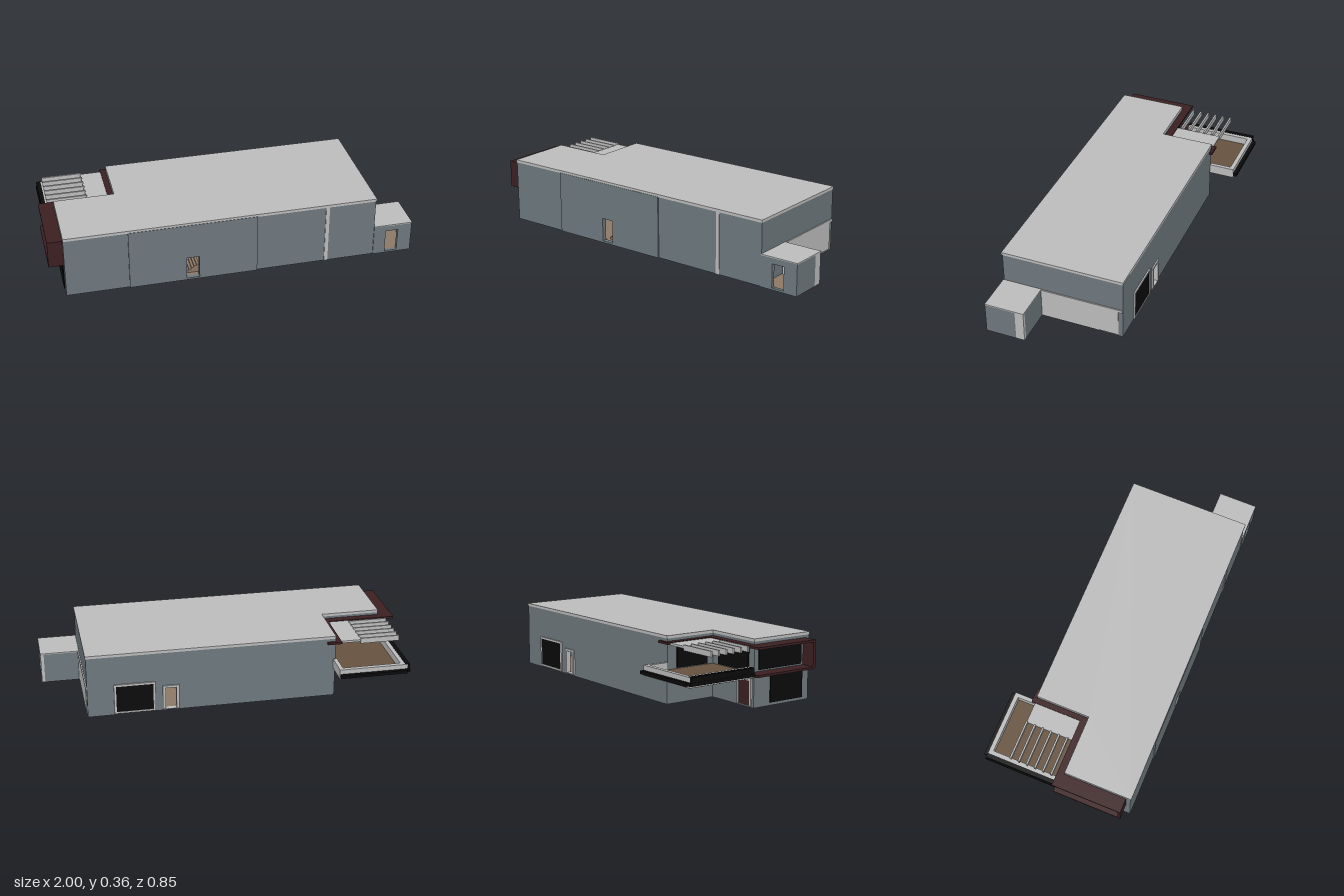
import * as THREE from 'three';

const mat = (name, color) => Object.assign(new THREE.MeshStandardMaterial({ color }), { name });

export function createModel() {
  const model = new THREE.Group();
  model.name = 'house';
  const wall = mat('slate wall', 0x6e787d);
  const light = mat('light concrete', 0xbcbcbc);
  const floor = mat('beige floor', 0x8c7866);
  const deck = mat('brown deck', 0x66523f);
  const trim = mat('dark red trim', 0x3c2022);
  const black = mat('black glass', 0x0a0a0a);

  const add = (name, geo, m) => {
    const mesh = new THREE.Mesh(geo, m);
    mesh.name = name;
    model.add(mesh);
    return mesh;
  };
  // box given by its extents on each axis
  const box = (name, m, x0, x1, y0, y1, z0, z1) =>
    add(name, new THREE.BoxGeometry(x1 - x0, y1 - y0, z1 - z0), m)
      .position.set((x0 + x1) / 2, (y0 + y1) / 2, (z0 + z1) / 2);
  // horizontal slab from an x, z outline
  const slab = (name, m, pts, y0, y1) => {
    const shape = new THREE.Shape(pts.map(([x, z]) => new THREE.Vector2(x, -z)));
    const geo = new THREE.ExtrudeGeometry(shape, { depth: y1 - y0, bevelEnabled: false });
    add(name, geo.rotateX(-Math.PI / 2), m).position.y = y0;
  };
  // upright panel facing z with rectangular openings [x0, x1, y0, y1]
  const rect = (C, [x0, x1, y0, y1]) => new C([[x0, y0], [x1, y0], [x1, y1], [x0, y1]]
    .map(p => new THREE.Vector2(...p)));
  const panel = (name, m, outer, holes, z0, z1) => {
    const shape = rect(THREE.Shape, outer);
    shape.holes = holes.map(h => rect(THREE.Path, h));
    add(name, new THREE.ExtrudeGeometry(shape, { depth: z1 - z0, bevelEnabled: false }), m).position.z = z0;
  };

  // floor and roof share an outline with a notched back corner
  const body = [[-0.92, 0.42], [0.785, 0.42], [0.785, -0.262], [-0.59, -0.262], [-0.59, 0.04], [-0.92, 0.04]];
  slab('mainRoof', light, body, 0.348, 0.363);
  slab('groundFloor', floor, [[-0.915, 0.41], [0.99, 0.41], [0.99, 0.205], [0.78, 0.205],
    [0.78, -0.258], [-0.585, -0.258], [-0.585, 0.045], [-0.915, 0.045]], 0.002, 0.012);
  box('floorPatch', wall, 0.64, 0.78, 0, 0.004, -0.258, -0.1);

  // outer walls
  const frontDoor = [-0.27, -0.2, 0.015, 0.145];
  const backDoor = [0.29, 0.365, 0.012, 0.145];
  panel('frontWall', wall, [-0.92, 0.782, 0.004, 0.348], [frontDoor], 0.395, 0.415);
  panel('frontRaisedWall', wall, [-0.58, 0.12, 0.004, 0.35], [frontDoor], 0.415, 0.422);
  panel('backWall', wall, [-0.59, 0.782, 0.004, 0.348], [backDoor], -0.26, -0.24);
  box('rightWall', wall, 0.762, 0.782, 0.004, 0.348, -0.24, 0.395);
  box('leftWall', wall, -0.92, -0.9, 0.004, 0.348, 0.06, 0.395);
  box('notchSideWall', wall, -0.59, -0.57, 0.004, 0.348, -0.24, 0.06);
  box('notchBackWall', wall, -0.92, -0.59, 0.004, 0.348, 0.042, 0.06);
  box('frontLightStrip', light, 0.5, 0.52, 0.004, 0.348, 0.41, 0.419);
  box('lowerSidePanel', light, 0.78, 0.787, 0.012, 0.165, -0.235, 0.2);
  box('lowerSideLedge', light, 0.78, 0.789, 0.165, 0.18, -0.258, 0.2);

  // interior seen through the doors
  box('partition', light, -0.57, 0.76, 0.012, 0.346, 0.1, 0.11);
  for (let i = 0; i < 5; i++)
    box('stairStep', floor, -0.262 + i * 0.014, -0.248 + i * 0.014, 0.012, 0.025 + i * 0.009, 0.28, 0.37);

  // annex
  const annexDoor = [0.85, 0.92, 0.015, 0.145];
  panel('annexFrontWall', wall, [0.782, 0.998, 0.004, 0.178], [annexDoor], 0.4, 0.42);
  box('annexSideWall', wall, 0.98, 0.998, 0.004, 0.178, 0.25, 0.4);
  box('annexSideEnd', light, 0.98, 0.998, 0.004, 0.178, 0.202, 0.25);
  box('annexBackWall', wall, 0.782, 0.98, 0.004, 0.178, 0.202, 0.22);
  box('annexLining', light, 0.79, 0.98, 0.012, 0.176, 0.22, 0.225);
  box('annexRoof', light, 0.782, 1, 0.176, 0.182, 0.2, 0.42);

  // back window and door surrounds
  box('backWindow', black, 0.42, 0.63, 0.018, 0.175, -0.265, -0.258);
  panel('backWindowFrame', light, [0.412, 0.638, 0.01, 0.183], [[0.424, 0.626, 0.02, 0.172]], -0.268, -0.258);
  panel('backDoorFrame', light, [0.282, 0.373, 0.012, 0.153], [[0.298, 0.357, 0.013, 0.14]], -0.268, -0.24);

  // left and notch openings
  box('leftLowerWindow', black, -0.926, -0.919, 0.02, 0.17, 0.15, 0.37);
  box('leftUpperWindow', black, -0.926, -0.919, 0.2, 0.315, 0.07, 0.36);
  box('terraceSideWindow', black, -0.597, -0.589, 0.19, 0.305, -0.2, 0.0);
  box('terraceBackWindow', black, -0.88, -0.64, 0.19, 0.31, 0.035, 0.043);
  panel('lowerDoorFrame', light, [-0.905, -0.795, 0.012, 0.155], [[-0.893, -0.807, 0.014, 0.143]], 0.033, 0.043);
  box('lowerDoor', trim, -0.893, -0.807, 0.014, 0.143, 0.036, 0.043);

  // dark red canopy and the projecting frame on the left side
  slab('canopy', trim, [[-1, 0.39], [-0.918, 0.39], [-0.918, 0.045], [-0.59, 0.045], [-0.59, -0.265],
    [-0.54, -0.265], [-0.54, -0.282], [-0.62, -0.282], [-0.62, 0], [-1, 0]], 0.322, 0.334);
  box('frameFrontPlate', trim, -1, -0.918, 0.182, 0.322, 0.375, 0.39);
  box('frameBottomPlate', trim, -1, -0.918, 0.18, 0.192, 0, 0.375);

  // terrace with parapet and black rail
  box('terraceDeck', deck, -0.955, -0.58, 0.17, 0.185, -0.4, 0.04);
  box('parapetBack', light, -0.96, -0.578, 0.172, 0.226, -0.404, -0.38);
  box('parapetLeft', light, -0.96, -0.925, 0.172, 0.226, -0.38, 0);
  box('parapetRight', light, -0.6, -0.578, 0.172, 0.226, -0.38, -0.262);
  box('railBack', black, -0.955, -0.58, 0.182, 0.2, -0.425, -0.404);
  box('railLeft', black, -0.975, -0.945, 0.182, 0.2, -0.41, 0);
  box('railLeftCap', black, -0.972, -0.948, 0.2, 0.228, -0.404, 0);

  // light shelter roof and its slats
  box('shelterRoof', light, -0.735, -0.61, 0.318, 0.33, -0.262, 0.01);
  for (let i = 0; i < 6; i++) {
    const z = -0.26 + i * 0.047;
    box('slat', light, -0.95, -0.73, 0.308, 0.338, z - 0.005, z + 0.005);
  }
  return model;
}
